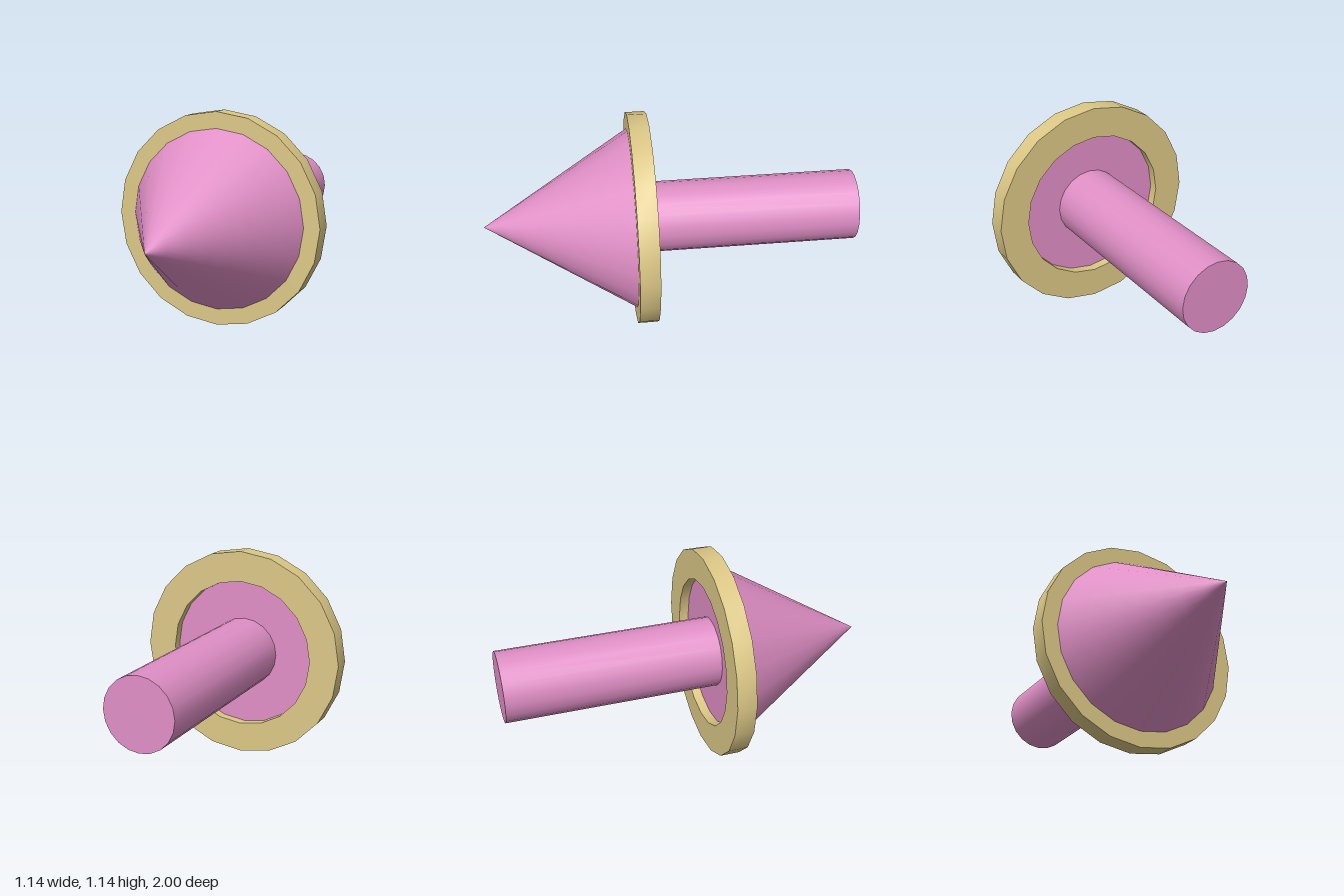
import * as THREE from 'three';
import { toCreasedNormals } from 'three/addons/utils/BufferGeometryUtils.js';

const SIDES = 20;
const AXIS_HEIGHT = 0.573;
const RING_BACK = 0.105, RING_FRONT = 0.21;
const BASE_Z = 0.157; // cone base sits midway inside the ring

export function createModel() {
  const pink = new THREE.MeshStandardMaterial({ name: 'pink', color: 0xe08fc6 });
  const gold = new THREE.MeshStandardMaterial({ name: 'gold', color: 0xdcc886 });
  const model = new THREE.Group();
  model.name = 'arrow';

  // Turns a part from the y axis to the z axis and centres it at z
  const add = (name, geometry, material, z) => {
    const mesh = new THREE.Mesh(geometry.rotateX(Math.PI / 2), material);
    mesh.name = name;
    mesh.position.set(0, AXIS_HEIGHT, z);
    model.add(mesh);
  };

  // Pointed head
  const headLength = 1 - BASE_Z;
  add('head', new THREE.ConeGeometry(0.516, headLength, SIDES, 8), pink, BASE_Z + headLength / 2);

  // Shaft
  const shaftLength = BASE_Z + 1;
  add('shaft', new THREE.CylinderGeometry(0.19, 0.19, shaftLength, SIDES), pink, BASE_Z - shaftLength / 2);

  // Collar ring with a square section
  const h = (RING_FRONT - RING_BACK) / 2;
  const section = [[0.407, -h], [0.571, -h], [0.571, h], [0.407, h], [0.407, -h]]
    .map(([r, y]) => new THREE.Vector2(r, y));
  const ring = toCreasedNormals(new THREE.LatheGeometry(section, SIDES), 0.6);
  add('collarRing', ring, gold, (RING_BACK + RING_FRONT) / 2);

  return model;
}
